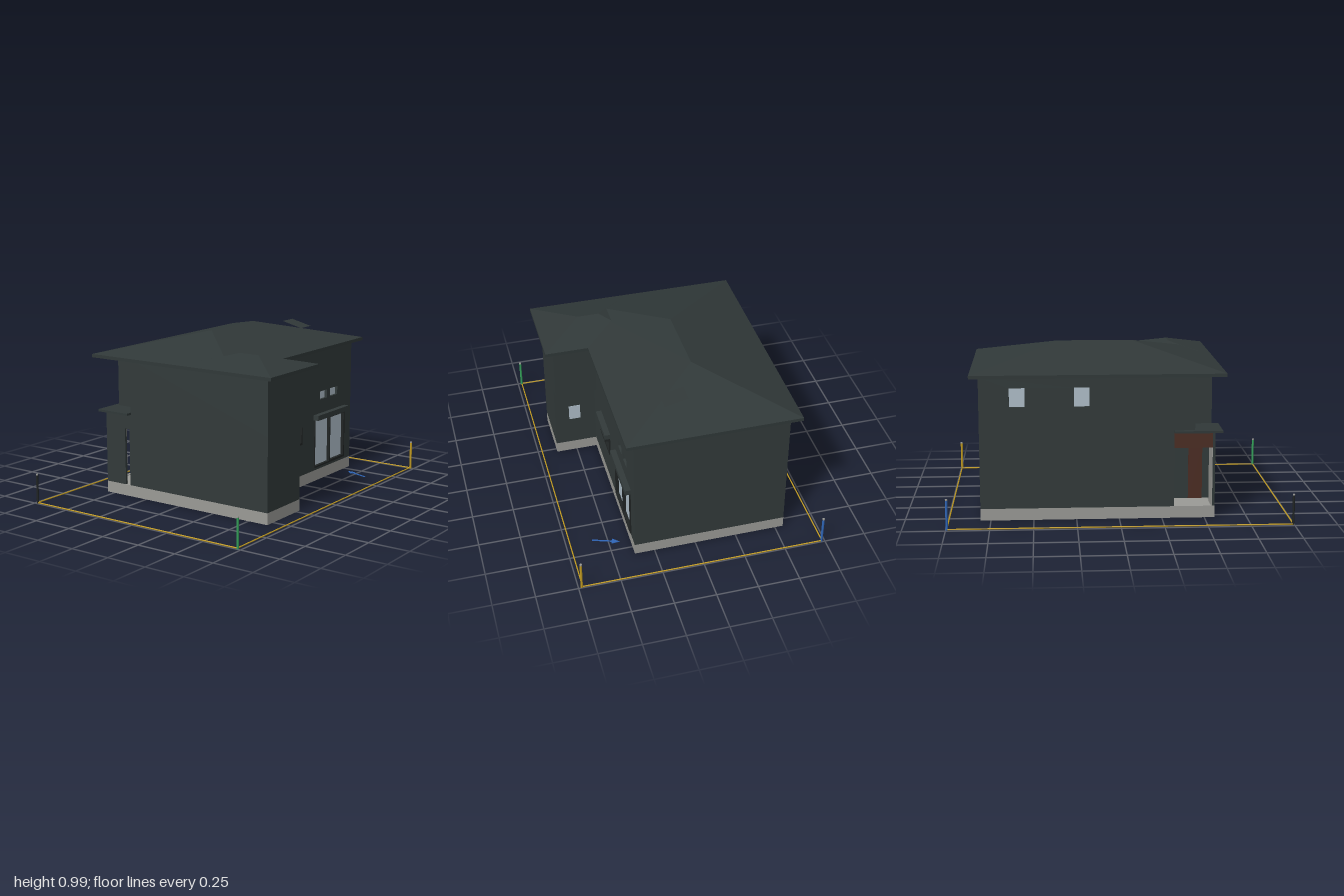
import * as THREE from 'three';

const mat = (name, color) => Object.assign(new THREE.MeshStandardMaterial({ color }), { name });

export function createModel() {
  const model = new THREE.Group();
  model.name = 'house';
  const wall = mat('wall', 0x323a3a), roof = mat('roof', 0x303838), concrete = mat('concrete', 0x9a9a96);
  const glass = mat('glass', 0xb0bfca), wood = mat('wood', 0x4c2d23), floor = mat('floor', 0x38261f);
  const gold = mat('gold', 0xc09a20), green = mat('green', 0x34a05a), blue = mat('blue', 0x2f66b8);
  const black = mat('black', 0x202424);

  const add = (name, geometry, material, parent = model) => {
    const mesh = new THREE.Mesh(geometry, material);
    mesh.name = name;
    parent.add(mesh);
    return mesh;
  };
  // Box given by its limits on each axis
  const box = (name, [x0, x1], [y0, y1], [z0, z1], material, parent) => {
    const g = new THREE.BoxGeometry(x1 - x0, y1 - y0, z1 - z0);
    g.translate((x0 + x1) / 2, (y0 + y1) / 2, (z0 + z1) / 2);
    return add(name, g, material, parent);
  };
  // Floor plan of [x, z] points raised from y0 to y1
  const toPoints = (plan) => plan.map(([x, z]) => new THREE.Vector2(x, -z));
  const raise = (name, plan, y0, y1, material, hole) => {
    const shape = new THREE.Shape(toPoints(plan));
    if (hole) shape.holes.push(new THREE.Path(toPoints(hole)));
    const g = new THREE.ExtrudeGeometry(shape, { depth: y1 - y0, bevelEnabled: false });
    g.rotateX(-Math.PI / 2).translate(0, y0, 0);
    return add(name, g, material);
  };
  // Upright plate of [x0, x1, y0, y1] with rectangular holes, from z0 to z1
  const corners = ([x0, x1, y0, y1]) =>
    [[x0, y0], [x1, y0], [x1, y1], [x0, y1]].map(([x, y]) => new THREE.Vector2(x, y));
  const plate = (name, outline, holes, z0, z1, material) => {
    const shape = new THREE.Shape(corners(outline));
    shape.holes = holes.map((h) => new THREE.Path(corners(h)));
    const g = new THREE.ExtrudeGeometry(shape, { depth: z1 - z0, bevelEnabled: false });
    return add(name, g.translate(0, 0, z0), material);
  };

  // Foundation ring and floor underside
  raise('foundation', [[-0.56, 0.63], [-0.22, 0.63], [-0.22, 0.37], [0.81, 0.37], [0.81, -0.55], [-0.56, -0.55]],
    0, 0.07, concrete,
    [[-0.54, 0.61], [-0.24, 0.61], [-0.24, 0.35], [0.79, 0.35], [0.79, -0.53], [-0.54, -0.53]]);
  raise('floorUnderside', [[-0.54, 0.61], [-0.24, 0.61], [-0.24, 0.35], [0.79, 0.35],
    [0.79, -0.53], [-0.3, -0.53], [-0.3, -0.2], [-0.54, -0.2]], 0.06, 0.069, floor);

  // Wall bodies, set back behind the pierced facades
  raise('groundFloorWalls', [[-0.56, 0.63], [-0.22, 0.63], [-0.22, 0.35], [0.81, 0.35],
    [0.81, -0.55], [-0.32, -0.55], [-0.32, -0.37], [-0.56, -0.37]], 0.07, 0.51, wall);
  raise('upperFloorWalls', [[-0.56, 0.63], [-0.155, 0.63], [-0.155, 0.35], [0.81, 0.35],
    [0.81, -0.53], [-0.44, -0.53], [-0.44, -0.36], [-0.56, -0.36]], 0.51, 0.85, wall);
  box('overhangLedge', [-0.22, -0.163], [0.495, 0.51], [0.37, 0.622], wall);

  // Facades with recessed windows, each [x0, x1, y0, y1]
  const small = [[-0.02, 0.072, 0.68, 0.782], [0.425, 0.51, 0.52, 0.572], [0.55, 0.64, 0.52, 0.572]];
  const back = [[0.545, 0.635, 0.67, 0.782], [0.172, 0.262, 0.67, 0.782]];
  const middle = [-0.028, 0.21, 0.272, 0.4], patio = [0.357, 0.727, 0.088, 0.402];
  plate('frontFacade', [-0.22, 0.81, 0.07, 0.85], [...small, middle, patio], 0.35, 0.37, wall);
  plate('backFacade', [-0.44, 0.81, 0.51, 0.85], back, -0.55, -0.53, wall);
  for (const [x0, x1, y0, y1] of small) box('windowPane', [x0, x1], [y0, y1], [0.348, 0.354], glass);
  for (const [x0, x1, y0, y1] of back) box('backWindowPane', [x0, x1], [y0, y1], [-0.534, -0.528], glass);

  // Framed sliding windows with shutter hoods
  const sliding = (name, outline, panes) => {
    plate(name + 'Frame', outline, panes, 0.345, 0.378, black);
    for (const [x0, x1, y0, y1] of panes) box(name + 'Pane', [x0, x1], [y0, y1], [0.35, 0.358], glass);
    box(name + 'Hood', [outline[0] - 0.003, outline[1] + 0.004], [0.4, 0.432], [0.36, 0.405], wall);
  };
  sliding('middleWindow', middle, [[-0.02, 0.085, 0.28, 0.395], [0.098, 0.202, 0.285, 0.385]]);
  sliding('patioDoor', patio, [[0.365, 0.54, 0.098, 0.396], [0.548, 0.717, 0.103, 0.385]]);
  box('sideWindowPane', [-0.224, -0.217], [0.253, 0.354], [0.468, 0.54], glass);

  // Eaves and hipped roofs
  raise('eaves', [[-0.615, 0.683], [-0.107, 0.683], [-0.107, 0.422], [0.862, 0.422], [0.862, -0.606], [-0.615, -0.606]],
    0.845, 0.865, roof);
  const hip = (name, x0, x1, z0, z1, y, ridgeA, ridgeB, ridgeY, alongX) => {
    const a = [x0, y, z1], b = [x1, y, z1], c = [x1, y, z0], d = [x0, y, z0];
    const p = [ridgeA[0], ridgeY, ridgeA[1]], q = [ridgeB[0], ridgeY, ridgeB[1]];
    const faces = alongX
      ? [a, b, q, a, q, p, b, c, q, c, d, p, c, p, q, d, a, p]
      : [a, b, q, b, c, p, b, p, q, c, d, p, d, a, q, d, q, p];
    const g = new THREE.BufferGeometry();
    g.setAttribute('position', new THREE.Float32BufferAttribute(faces.flat(), 3));
    g.computeVertexNormals();
    add(name, g, roof);
  };
  hip('mainRoof', -0.615, 0.862, -0.606, 0.422, 0.865, [-0.1, -0.09], [0.35, -0.09], 0.99, true);
  hip('wingRoof', -0.615, -0.107, 0.05, 0.683, 0.865, [-0.36, 0.3], [-0.36, 0.43], 0.928, false);

  // Flat panel parallel to the front roof slope
  const panel = add('roofPanel', new THREE.PlaneGeometry(0.115, 0.144), roof);
  panel.position.set(0.602, 0.957, 0.08);
  panel.rotation.x = -Math.PI / 2 + Math.atan(0.245);

  // Recessed porch at the back corner
  box('porchSlab', [-0.541, -0.3], [0.045, 0.066], [-0.531, -0.2], concrete);
  box('porchBeam', [-0.545, -0.32], [0.42, 0.51], [-0.552, -0.37], wood);
  box('porchCanopy', [-0.6, -0.32], [0.512, 0.525], [-0.58, -0.355], roof);
  box('porchScreen', [-0.56, -0.545], [0.07, 0.512], [-0.55, -0.405], wall);
  box('porchScreenLining', [-0.546, -0.541], [0.07, 0.42], [-0.548, -0.407], concrete);
  box('porchLintel', [-0.56, -0.545], [0.42, 0.512], [-0.405, -0.37], wall);
  box('frontDoor', [-0.505, -0.422], [0.07, 0.4], [-0.376, -0.369], wood);

  // Plot boundary and capped corner posts
  const rod = (name, r, length, position, material, axis) => {
    const g = new THREE.CylinderGeometry(r, r, length, 16);
    if (axis === 'x') g.rotateZ(Math.PI / 2);
    if (axis === 'z') g.rotateX(Math.PI / 2);
    add(name, g.translate(...position), material);
  };
  for (const z of [-0.733, 0.725]) rod('boundaryLine', 0.004, 1.988, [0, 0.004, z], gold, 'x');
  for (const x of [-0.994, 0.994]) rod('boundaryLine', 0.004, 1.458, [x, 0.004, -0.004], gold, 'z');
  for (const [x, z, m] of [[-0.993, 0.726, green], [0.993, 0.73, gold], [0.993, -0.73, blue], [-0.993, -0.73, black]]) {
    rod('cornerPost', 0.007, 0.174, [x, 0.087, z], m);
    rod('postCap', 0.007, 0.008, [x, 0.178, z], concrete);
  }

  // Ground arrow
  const arrow = new THREE.Group();
  arrow.name = 'groundArrow';
  model.add(arrow);
  box('arrowShaft', [-0.004, 0.004], [0, 0.004], [0.04, 0.165], blue, arrow);
  const head = new THREE.ExtrudeGeometry(
    new THREE.Shape(toPoints([[0, 0], [-0.02, 0.047], [0.02, 0.047]])), { depth: 0.004, bevelEnabled: false });
  add('arrowHead', head.rotateX(-Math.PI / 2), blue, arrow);
  arrow.position.set(0.69, 0, 0.435);
  arrow.rotation.y = -0.33;
  return model;
}
